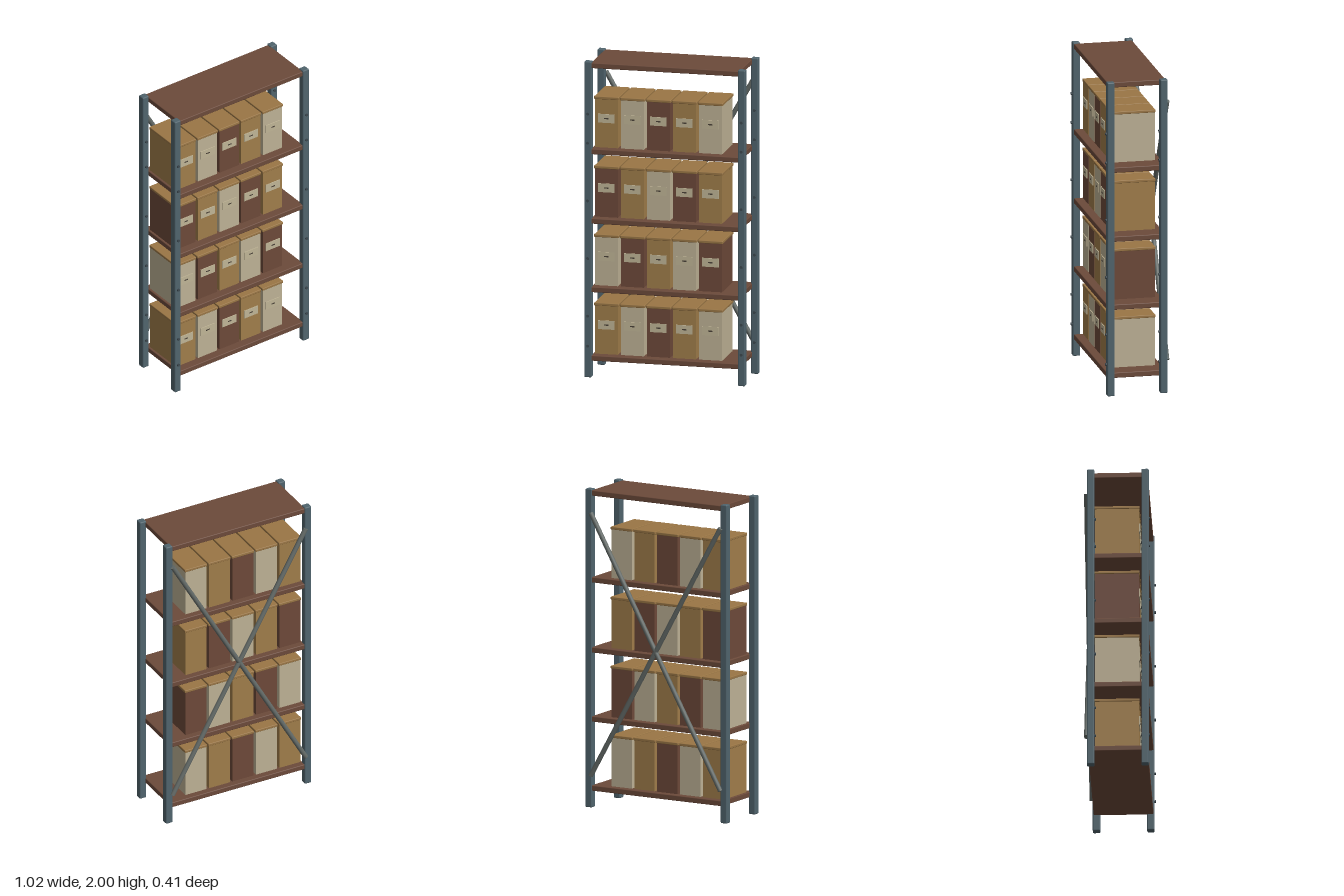
import * as THREE from 'three';
import { RoundedBoxGeometry } from 'three/addons/geometries/RoundedBoxGeometry.js';

const material = (name, color) => {
  const m = new THREE.MeshStandardMaterial({ color });
  m.name = name;
  return m;
};

export function createModel() {
  const steel = material('blue steel', 0x50646d);
  const bolt = material('dark bolt', 0x3c484f);
  const braceSteel = material('grey brace', 0x646b68);
  const wood = material('shelf brown', 0x6c4a3a);
  const tan = material('tan card', 0xa07d4a);
  const cream = material('cream card', 0xbdb195);
  const maroon = material('dark brown card', 0x6d4939);
  const lidMat = material('lid card', 0x9a7645);
  const paper = material('label paper', 0xc0b596);
  const ink = material('label mark', 0x4a4238);

  const model = new THREE.Group();
  model.name = 'storageRack';
  const add = (parent, name, geometry, mat, x, y, z) => {
    const mesh = new THREE.Mesh(geometry, mat);
    mesh.name = name;
    mesh.position.set(x, y, z);
    parent.add(mesh);
    return mesh;
  };

  // Four uprights, each with a column of bolts on its front face
  const postGeo = new RoundedBoxGeometry(0.046, 2, 0.046, 2, 0.007);
  const boltGeo = new THREE.CylinderGeometry(0.009, 0.009, 0.016, 10).rotateX(Math.PI / 2);
  for (const x of [-0.487, 0.487]) {
    for (const z of [-0.163, 0.172]) {
      const post = new THREE.Group();
      post.name = (z > 0 ? 'front' : 'back') + (x > 0 ? 'Left' : 'Right') + 'Post';
      add(post, 'upright', postGeo, steel, x, 1, z);
      for (const y of [0.2, 0.39, 0.755, 1.12, 1.485, 1.67]) {
        add(post, 'bolt', boltGeo, bolt, x, y, z + 0.023);
      }
      model.add(post);
    }
  }

  // Shelves
  const shelfGeo = new RoundedBoxGeometry(0.942, 0.034, 0.368, 2, 0.005);
  for (const y of [0.122, 0.556, 0.99, 1.43, 1.975]) {
    add(model, 'shelf', shelfGeo, wood, 0, y, 0.004);
  }

  // Crossed braces behind the rack
  const braceLength = Math.hypot(0.934, 1.65);
  const braceGeo = new THREE.CylinderGeometry(0.015, 0.015, braceLength, 16);
  for (const side of [-1, 1]) {
    const brace = add(model, 'crossBrace', braceGeo, braceSteel, 0, 1.027, -0.19);
    brace.rotation.z = side * Math.atan2(0.934, 1.65);
  }

  // File boxes: body, overhanging lid and front label
  const bodyGeo = new THREE.BoxGeometry(0.147, 0.306, 0.272);
  const lidGeo = new RoundedBoxGeometry(0.156, 0.018, 0.28, 2, 0.004);
  const labelGeo = new THREE.BoxGeometry(0.105, 0.055, 0.006);
  const markGeo = new THREE.BoxGeometry(0.026, 0.007, 0.002);
  const cards = [tan, cream, maroon];
  [0.139, 0.573, 1.007, 1.447].forEach((y, row) => {
    for (let col = 0; col < 5; col++) {
      const box = new THREE.Group();
      box.name = 'fileBox';
      box.position.set(-0.384 + col * 0.165, y, -0.003);
      add(box, 'boxBody', bodyGeo, cards[(row + col) % 3], 0, 0.153, 0);
      add(box, 'boxLid', lidGeo, lidMat, 0, 0.314, 0);
      add(box, 'label', labelGeo, paper, 0, 0.185, 0.138);
      add(box, 'labelMark', markGeo, ink, 0, 0.185, 0.1415);
      model.add(box);
    }
  });

  return model;
}
